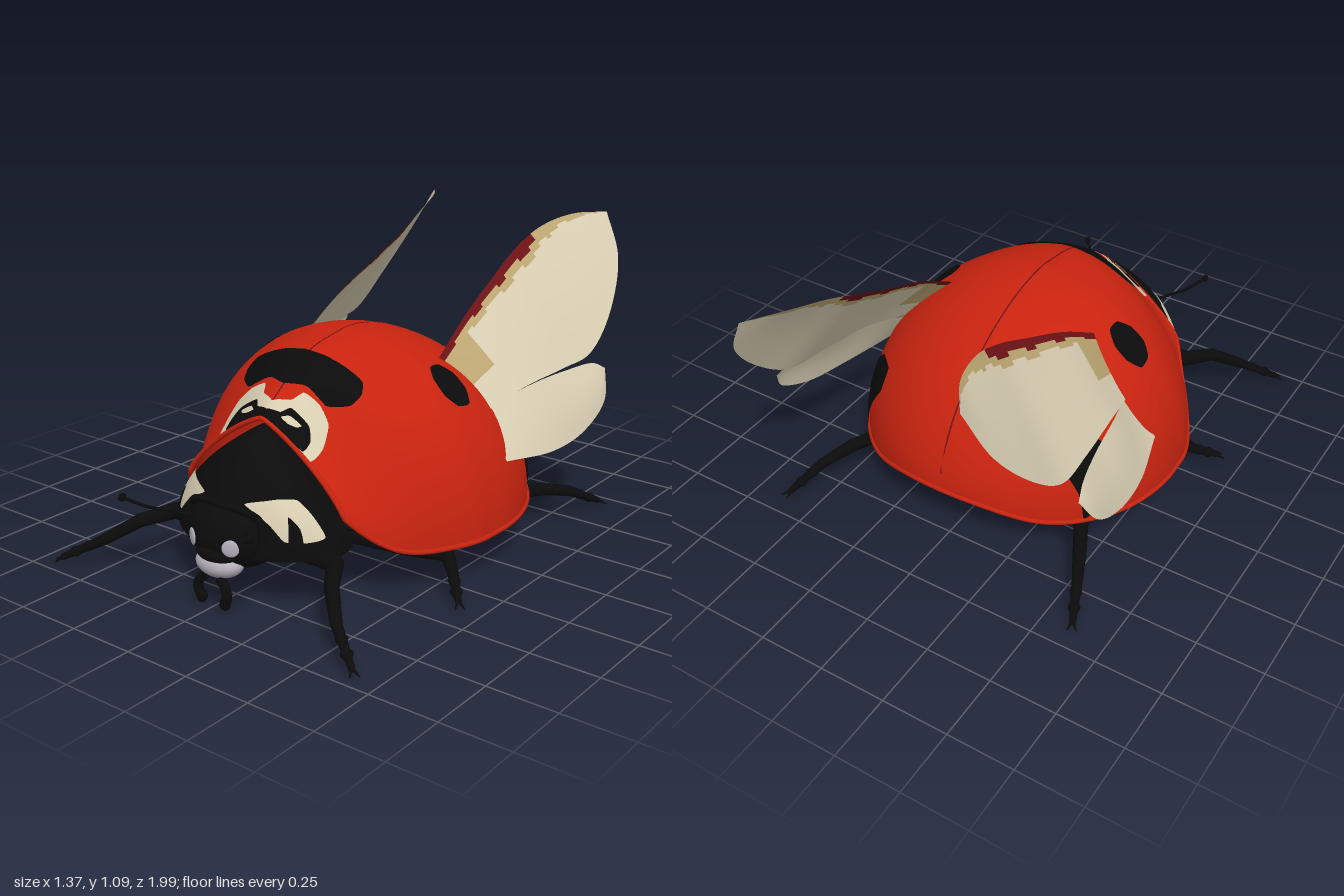
import * as THREE from 'three';

const mat = (name, color) => {
  const m = new THREE.MeshStandardMaterial({ color, side: THREE.DoubleSide });
  m.name = name;
  return m;
};
const V = (a) => new THREE.Vector3(...a);

// Smooth interpolation through [position, value] pairs
function table(pts) {
  const slope = (i) => {
    const a = pts[Math.max(0, i - 1)], b = pts[Math.min(pts.length - 1, i + 1)];
    return (b[1] - a[1]) / (b[0] - a[0]);
  };
  return (z) => {
    if (z <= pts[0][0]) return pts[0][1];
    for (let i = 0; i < pts.length - 1; i++) {
      const [z0, v0] = pts[i], [z1, v1] = pts[i + 1];
      if (z > z1) continue;
      const h = z1 - z0, s = (z - z0) / h, s2 = s * s, s3 = s2 * s;
      return (2 * s3 - 3 * s2 + 1) * v0 + (s3 - 2 * s2 + s) * h * slope(i)
        + (3 * s2 - 2 * s3) * v1 + (s3 - s2) * h * slope(i + 1);
    }
    return pts[pts.length - 1][1];
  };
}

// Grid surface from fn(u, v) -> [x, y, z]; pick(u, v) chooses a material index
function grid(nu, nv, fn, pick) {
  const pos = [], cells = [];
  for (let i = 0; i <= nu; i++) for (let j = 0; j <= nv; j++) pos.push(...fn(i / nu, j / nv));
  for (let i = 0; i < nu; i++) for (let j = 0; j < nv; j++) {
    const a = i * (nv + 1) + j, b = a + nv + 1;
    const k = pick ? pick((i + 0.5) / nu, (j + 0.5) / nv) : 0;
    (cells[k] ??= []).push(a, a + 1, b, b, a + 1, b + 1);
  }
  const g = new THREE.BufferGeometry();
  g.setAttribute('position', new THREE.Float32BufferAttribute(pos, 3));
  g.setIndex(cells.flat());
  let start = 0;
  if (pick) cells.forEach((c, k) => { g.addGroup(start, c.length, k); start += c.length; });
  g.computeVertexNormals();
  return g;
}

// Arched bodies: half width W, top T, bottom B and roundness n along z
const shell = {
  W: (z) => z < 0.05 ? 0.615 * Math.sqrt(Math.max(0, 1 - ((z - 0.05) / 0.6) ** 2))
    : table([[0.05, 0.615], [0.2, 0.598], [0.4, 0.5], [0.5, 0.43], [0.6, 0.345]])(z),
  T: (z) => z < 0.15 ? 0.25 + 0.555 * Math.max(0, 1 - ((z - 0.15) / 0.7) ** 2) ** 0.6
    : table([[0.15, 0.805], [0.35, 0.765], [0.5, 0.67], [0.6, 0.59]])(z),
  B: table([[-0.55, 0.25], [-0.45, 0.185], [-0.3, 0.163], [0, 0.16], [0.35, 0.16], [0.45, 0.18], [0.54, 0.245], [0.6, 0.32]]),
  n: table([[0.2, 2], [0.35, 1.9], [0.5, 1.5], [0.6, 1.25]]),
};
const pronotum = {
  W: table([[0.54, 0.34], [0.65, 0.345], [0.72, 0.29], [0.78, 0.21], [0.83, 0.1]]),
  T: table([[0.54, 0.57], [0.6, 0.565], [0.66, 0.54], [0.72, 0.49], [0.78, 0.41], [0.83, 0.32]]),
  B: () => 0.19,
  n: table([[0.54, 1.2], [0.65, 1.4], [0.75, 1.8]]),
};
function section(s, z, t) {
  const e = 2 / s.n(z), c = Math.cos(t), b = s.B(z);
  return [Math.sign(c) * s.W(z) * Math.abs(c) ** e, b + (s.T(z) - b) * Math.abs(Math.sin(t)) ** e, z];
}
const other = (u, n) => Math.max(0, 1 - Math.min(1, Math.abs(u)) ** n) ** (1 / n);
const fromTop = (s) => (x, z) => [x, s.B(z) + (s.T(z) - s.B(z)) * other(x / s.W(z), s.n(z)), z];
const fromSide = (s) => (z, y) => [s.W(z) * other((y - s.B(z)) / (s.T(z) - s.B(z)), s.n(z)), y, z];

// Thin painted patch: a closed outline laid on a surface and lifted slightly
function patch(outline, project, lift, center) {
  const curve = new THREE.CatmullRomCurve3(outline.map(([a, b]) => V([a, b, 0])), true, 'catmullrom', 0.25);
  const mid = outline.reduce((m, [a, b]) => [m[0] + a / outline.length, m[1] + b / outline.length], [0, 0]);
  const c = V(center);
  return grid(8, 48, (r, u) => {
    const p = curve.getPoint(u % 1);
    const q = V(project(mid[0] + (p.x - mid[0]) * r, mid[1] + (p.y - mid[1]) * r));
    return q.add(q.clone().sub(c).normalize().multiplyScalar(lift)).toArray();
  });
}

export function createModel() {
  const red = mat('shellRed', 0xc8230f), black = mat('bodyBlack', 0x0b0b0b);
  const cream = mat('cream', 0xd8ceb2), tan = mat('tan', 0xbda772);
  const maroon = mat('wingMaroon', 0x6e1216), grey = mat('faceGrey', 0xb4afba);
  const model = new THREE.Group();
  const half = new THREE.Group();
  const add = (parent, name, g, m) => {
    const mesh = new THREE.Mesh(g, m);
    mesh.name = name;
    parent.add(mesh);
    return mesh;
  };
  const ball = (parent, name, m, p, s) => {
    const b = add(parent, name, new THREE.SphereGeometry(1, 32, 20), m);
    b.position.set(...p);
    b.scale.set(...s);
    return b;
  };
  const tube = (parent, name, pts, r, m, steps = 32) =>
    add(parent, name, new THREE.TubeGeometry(new THREE.CatmullRomCurve3(pts.map(V)), steps, r, 8), m);

  // Wing case dome, centre seam and rim
  add(model, 'shell', grid(72, 64, (u, v) =>
    section(shell, -0.55 + 1.15 * (1 - Math.cos(u * Math.PI / 2)), v * Math.PI), null), red);
  const seam = [], rim = [];
  for (let i = 0; i <= 24; i++) {
    const z = -0.54 + 1.13 * i / 24;
    seam.push([0, shell.T(z) - 0.001, z]);
    rim.push(section(shell, -0.55 + 1.15 * (1 - Math.cos(i / 24 * Math.PI / 2)), 0));
  }
  for (let i = 1; i <= 12; i++) rim.push(section(shell, 0.6, i / 12 * Math.PI / 2));
  tube(model, 'seam', seam, 0.003, maroon, 60);
  tube(half, 'shellRim', rim, 0.009, red, 120);

  // Belly and pronotum
  ball(model, 'belly', black, [0, 0.225, 0.04], [0.56, 0.055, 0.53]);
  add(model, 'pronotum', grid(24, 40, (u, v) => section(pronotum, 0.54 + 0.29 * u, v * Math.PI)), black);
  ball(model, 'chest', black, [0, 0.22, 0.62], [0.33, 0.05, 0.18]);

  // Painted shell markings
  const core = [0, 0.2, 0.1], top = fromTop(shell);
  const band = [[0.12, 0.35], [0.23, 0.35], [0.25, 0.38], [0.235, 0.42], [0.17, 0.465], [0.08, 0.46]];
  add(model, 'frontBand', patch([...band, [0, 0.485], ...band.map(([x, z]) => [-x, z]).reverse()], top, 0.006, core), black);
  add(half, 'creamMark', patch([[0, 0.545], [0.06, 0.515], [0.085, 0.478], [0.15, 0.475], [0.2, 0.492], [0.215, 0.54], [0.2, 0.592], [0.1, 0.594], [0, 0.594]], top, 0.005, core), cream);
  add(half, 'innerMark', patch([[0, 0.572], [0.05, 0.558], [0.075, 0.532], [0.15, 0.532], [0.175, 0.556], [0.168, 0.59], [0.09, 0.596], [0, 0.596]], top, 0.0075, core), black);
  add(half, 'innerFleck', patch([[0.06, 0.567], [0.085, 0.549], [0.13, 0.546], [0.12, 0.558], [0.09, 0.568]], top, 0.009, core), cream);
  add(half, 'sideSpot', patch([[0.33, 0.05], [0.37, 0.015], [0.42, 0.015], [0.46, 0.05], [0.455, 0.11], [0.42, 0.14], [0.37, 0.135], [0.33, 0.1]], top, 0.007, core), black);
  add(half, 'rearSpot', patch([[-0.2, 0.38], [-0.235, 0.46], [-0.31, 0.475], [-0.36, 0.4], [-0.345, 0.28], [-0.342, 0.18], [-0.31, 0.2], [-0.25, 0.28]], fromSide(shell), 0.007, core), black);

  // Pronotum side marks
  const flank = fromSide(pronotum), chest = [0, 0.25, 0.6];
  add(half, 'cheekMark', patch([[0.79, 0.365], [0.74, 0.385], [0.69, 0.38], [0.67, 0.33], [0.66, 0.265], [0.71, 0.255], [0.76, 0.26], [0.775, 0.31]], flank, 0.005, chest), cream);
  add(half, 'cheekStripe', patch([[0.755, 0.252], [0.725, 0.252], [0.72, 0.3], [0.735, 0.335]], flank, 0.008, chest), black);

  // Head, eyes, muzzle, jaws and antennae
  ball(model, 'head', black, [0, 0.24, 0.74], [0.18, 0.125, 0.14]);
  ball(model, 'muzzle', grey, [0, 0.15, 0.825], [0.092, 0.05, 0.065]);
  ball(model, 'snout', black, [0, 0.19, 0.83], [0.085, 0.035, 0.06]);
  const eye = ball(half, 'eye', grey, [0.085, 0.232, 0.862], [0.03, 0.03, 0.007]);
  eye.rotation.y = 0.55;
  tube(half, 'browRidge', [[0.17, 0.25, 0.8], [0.15, 0.32, 0.79], [0.08, 0.345, 0.8], [0, 0.345, 0.81]], 0.014, black);
  tube(half, 'jaw', [[0.03, 0.11, 0.86], [0.058, 0.085, 0.865], [0.064, 0.05, 0.865], [0.05, 0.02, 0.86]], 0.017, black, 16);
  ball(half, 'jawTip', black, [0.052, 0.025, 0.862], [0.02, 0.024, 0.018]);
  tube(half, 'antenna', [[0.11, 0.28, 0.81], [0.16, 0.3, 0.86], [0.22, 0.32, 0.92], [0.285, 0.365, 0.99]], 0.006, black);
  ball(half, 'antennaTip', black, [0.28, 0.362, 0.984], [0.011, 0.014, 0.016]);

  // Legs: tapered segments with round joints, a beaded foot and two claws
  const limb = (parent, name, a, b, r0, r1) => {
    const p = V(a), d = V(b).sub(p);
    const seg = add(parent, name, new THREE.CylinderGeometry(r1, r0, d.length(), 10), black);
    seg.position.copy(p).addScaledVector(d, 0.5);
    seg.quaternion.setFromUnitVectors(new THREE.Vector3(0, 1, 0), d.normalize());
    ball(parent, name + 'Joint', black, b, [r1, r1, r1]);
  };
  const legs = {
    frontLeg: [[0.12, 0.2, 0.68], [0.36, 0.185, 0.665], [0.43, 0.165, 0.77], [0.52, 0.1, 0.86], [0.645, 0.03, 0.945]],
    middleLeg: [[0.2, 0.185, 0.46], [0.42, 0.145, 0.35], [0.54, 0.125, 0.28], [0.575, 0.08, 0.3], [0.65, 0.025, 0.375]],
    rearLeg: [[0.18, 0.18, -0.04], [0.36, 0.14, -0.16], [0.5, 0.125, -0.42], [0.555, 0.095, -0.53], [0.61, 0.03, -0.655]],
  };
  const radii = [0.032, 0.03, 0.025, 0.02, 0.012];
  for (const [name, p] of Object.entries(legs)) {
    const leg = new THREE.Group();
    leg.name = name;
    for (let i = 0; i < 4; i++) limb(leg, 'segment', p[i], p[i + 1], radii[i], radii[i + 1]);
    const foot = V(p[4]), dir = foot.clone().sub(V(p[3]));
    for (const k of [0.35, 0.7]) ball(leg, 'footBead', black, V(p[3]).addScaledVector(dir, k).toArray(), [0.021, 0.018, 0.021]);
    dir.normalize();
    for (const s of [-1, 1]) {
      const tip = foot.clone().add(new THREE.Vector3(dir.x - s * dir.z * 0.5, -0.5, dir.z + s * dir.x * 0.5).multiplyScalar(0.035));
      limb(leg, 'claw', p[4], tip.toArray(), 0.008, 0.002);
    }
    half.add(leg);
  }

  // Wings: thin sheets between a leading and a trailing edge
  const wing = (name, lead, trail, pick) => {
    const a = new THREE.CatmullRomCurve3(lead.map(V)), b = new THREE.CatmullRomCurve3(trail.map(V));
    add(half, name, grid(40, 32, (t, u) => {
      const p = a.getPoint(t).lerp(b.getPoint(t), u);
      p.x += 0.012 * Math.sin(u * Math.PI) * Math.sin(t * Math.PI);
      return p.toArray();
    }, pick), [cream, tan, maroon]);
  };
  wing('largeWing',
    [[0.3, 0.7, 0.01], [0.285, 0.83, -0.2], [0.27, 0.92, -0.39], [0.262, 1.0, -0.56], [0.28, 1.06, -0.71], [0.33, 1.09, -0.87], [0.41, 1.088, -0.99]],
    [[0.47, 0.53, -0.06], [0.51, 0.58, -0.25], [0.54, 0.6, -0.47], [0.555, 0.62, -0.64], [0.545, 0.74, -0.8], [0.49, 0.93, -0.95], [0.41, 1.088, -0.99]],
    (t, u) => {
      const wave = 0.02 * Math.sin(t * 40);
      if (t < 0.6 && u < 0.07 + wave) return 2;
      if (t < 0.12 && u < 0.6) return 1;
      return u < (t < 0.6 ? 0.14 : 0.09) + wave && t < 0.95 ? 1 : 0;
    });
  wing('smallWing',
    [[0.46, 0.53, -0.06], [0.52, 0.585, -0.25], [0.56, 0.6, -0.45], [0.595, 0.6, -0.59], [0.615, 0.57, -0.65]],
    [[0.575, 0.375, -0.03], [0.635, 0.362, -0.25], [0.655, 0.39, -0.44], [0.652, 0.47, -0.59], [0.615, 0.57, -0.65]],
    () => 0);

  // Mirror the left half
  half.name = 'leftHalf';
  const mirror = half.clone();
  mirror.name = 'rightHalf';
  mirror.scale.x = -1;
  model.add(half, mirror);
  return model;
}
